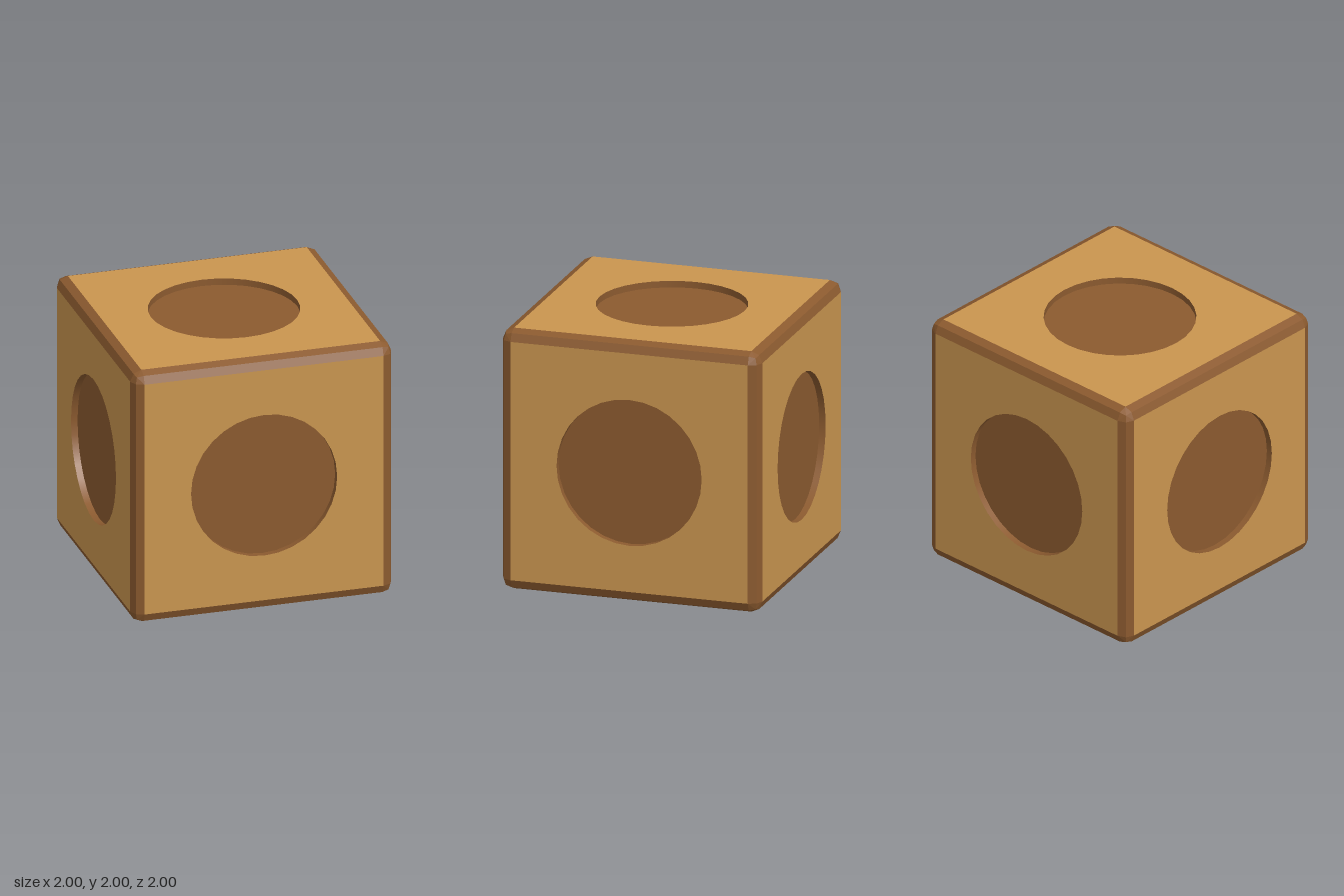
import * as THREE from 'three';

const FLAT = 0.915;    // half width of the flat panel
const EDGE = 0.975;    // bevel edge midline
const CORNER = 0.964;  // cube corner point
const HOLE = 0.56, DEPTH = 0.05, SIDES = 32;

// Square panel with a round opening
function panelGeometry() {
  const shape = new THREE.Shape();
  shape.moveTo(-FLAT, -FLAT).lineTo(FLAT, -FLAT).lineTo(FLAT, FLAT).lineTo(-FLAT, FLAT).closePath();
  const hole = new THREE.Path();
  hole.absarc(0, 0, HOLE, 0, Math.PI * 2, true);
  shape.holes.push(hole);
  return new THREE.ShapeGeometry(shape, SIDES / 2).translate(0, 0, 1);
}

// Half of the two-step bevel around one face: a 3 x 3 grid without its middle cell
function bevelGeometry() {
  const point = (i, j) => {
    const outerX = i % 3 === 0, outerY = j % 3 === 0;
    const reach = outerX && outerY ? CORNER : EDGE;
    const x = (i < 2 ? -1 : 1) * (outerX ? reach : FLAT);
    const y = (j < 2 ? -1 : 1) * (outerY ? reach : FLAT);
    return [x, y, outerX || outerY ? reach : 1];
  };
  const positions = [];
  for (let i = 0; i < 3; i++) {
    for (let j = 0; j < 3; j++) {
      if (i === 1 && j === 1) continue;
      const a = point(i, j), b = point(i + 1, j), c = point(i + 1, j + 1), d = point(i, j + 1);
      // split corner cells along the diagonal through the cube corner
      const cell = (i === j) ? [a, b, c, a, c, d] : [a, b, d, b, c, d];
      positions.push(...cell.flat());
    }
  }
  const geometry = new THREE.BufferGeometry();
  geometry.setAttribute('position', new THREE.Float32BufferAttribute(positions, 3));
  geometry.computeVertexNormals();
  return geometry;
}

export function createModel() {
  const tan = new THREE.MeshStandardMaterial({ name: 'tan wood', color: 0xc9954f });
  const brown = new THREE.MeshStandardMaterial({ name: 'brown wood', color: 0x8b5a2f, side: THREE.DoubleSide });

  const parts = [
    ['panel', panelGeometry(), tan],
    ['bevel', bevelGeometry(), brown],
    ['recessFloor', new THREE.CircleGeometry(HOLE, SIDES).translate(0, 0, 1 - DEPTH), brown],
    ['recessWall', new THREE.CylinderGeometry(HOLE, HOLE, DEPTH, SIDES, 1, true)
      .rotateX(Math.PI / 2).translate(0, 0, 1 - DEPTH / 2), brown],
  ];

  // Six identical faces turned about the cube centre
  const q = Math.PI / 2;
  const faces = {
    front: [0, 0], left: [0, q], back: [0, 2 * q], right: [0, -q], top: [-q, 0], bottom: [q, 0],
  };
  const model = new THREE.Group();
  model.name = 'recessedCube';
  for (const [name, [rx, ry]] of Object.entries(faces)) {
    const face = new THREE.Group();
    face.name = name + 'Face';
    face.rotation.set(rx, ry, 0);
    face.position.y = 1;
    for (const [part, geometry, material] of parts) {
      const mesh = new THREE.Mesh(geometry, material);
      mesh.name = part;
      face.add(mesh);
    }
    model.add(face);
  }
  return model;
}
